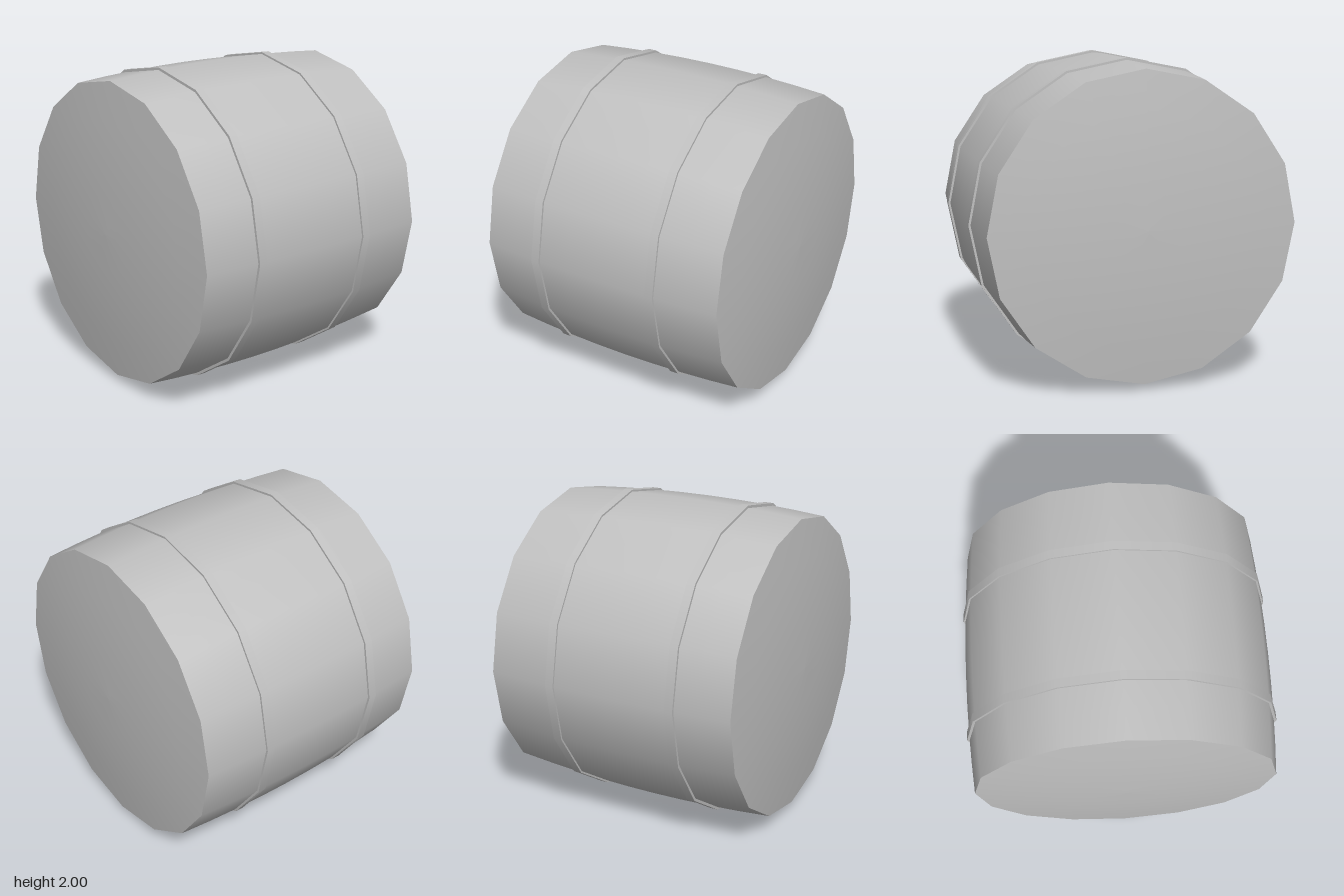
import * as THREE from 'three';

const SIDES = 16;

export function createModel() {
  const grey = new THREE.MeshStandardMaterial({ color: 0xc0c0c0 });
  grey.name = 'grey';
  const model = new THREE.Group();
  model.name = 'barrel';

  // Surface of revolution about the x axis; points are [x, radius], x ascending
  const turned = (name, points, parent) => {
    const geo = new THREE.LatheGeometry(points.map(([x, r]) => new THREE.Vector2(r, x)), SIDES);
    geo.rotateZ(-Math.PI / 2);
    const mesh = new THREE.Mesh(geo, grey);
    mesh.name = name;
    mesh.position.y = 1;
    parent.add(mesh);
  };

  // Bulging body
  const body = [];
  for (let i = 0; i <= 8; i++) {
    const t = i / 4 - 1;
    body.push([0.82 * t, 0.995 - 0.035 * t * t]);
  }
  turned('body', body, model);

  // Shallow domed ends
  const dome = [];
  for (let i = 0; i <= 4; i++) {
    const t = 1 - i / 4;
    dome.push([0.88 - 0.06 * t * t, 0.96 * t]);
  }
  turned('leftEnd', dome, model);
  turned('rightEnd', dome.map(([x, r]) => [-x, r]).reverse(), model);

  // Raised hoops: separate faces keep the edges sharp
  for (const [name, x0, x1] of [['rightHoop', -0.465, -0.41], ['leftHoop', 0.355, 0.41]]) {
    const hoop = new THREE.Group();
    hoop.name = name;
    turned('hoopBand', [[x0, 1], [x1, 1]], hoop);
    turned('hoopRightEdge', [[x0, 0.97], [x0, 1]], hoop);
    turned('hoopLeftEdge', [[x1, 1], [x1, 0.97]], hoop);
    model.add(hoop);
  }
  return model;
}
